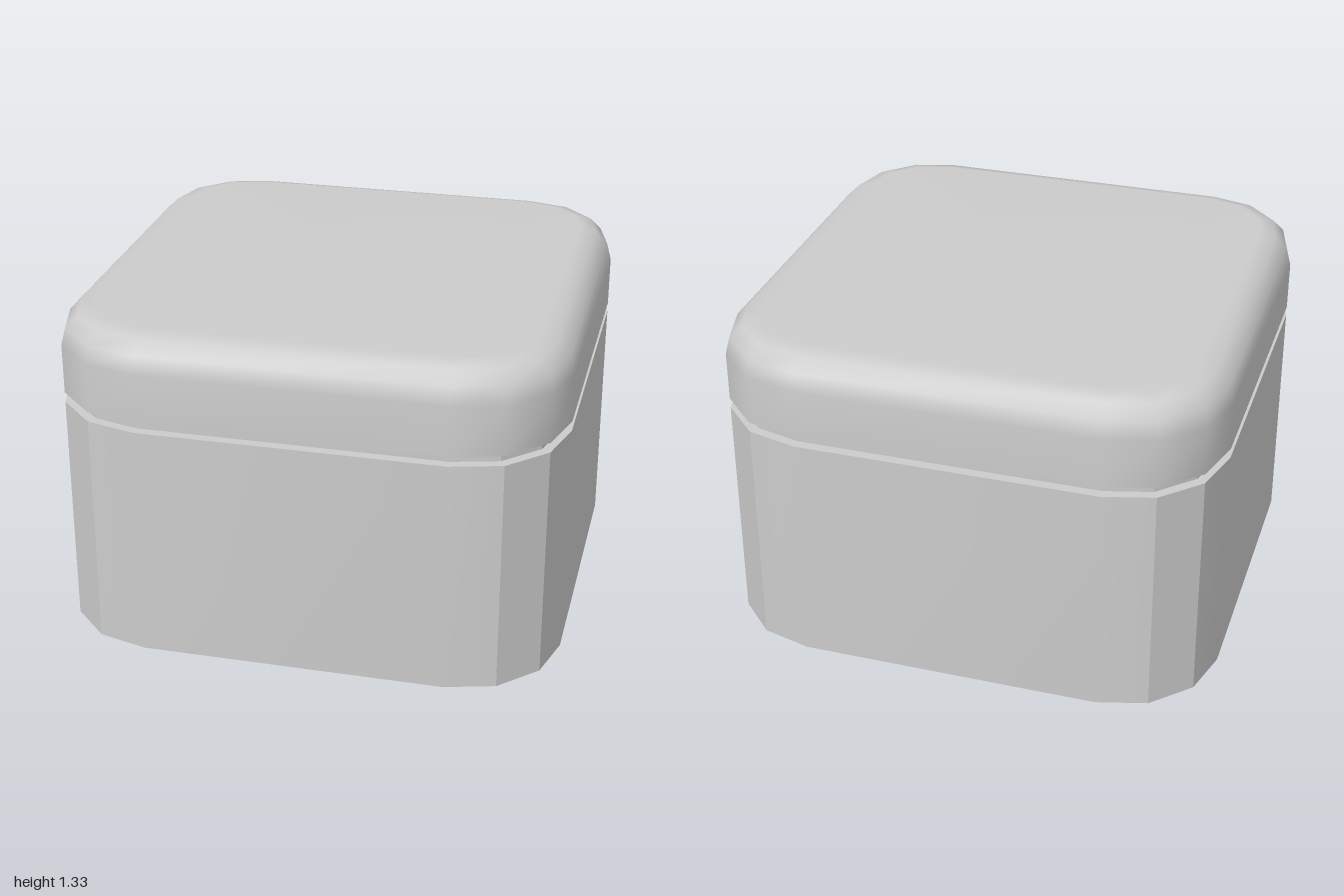
import * as THREE from 'three';
import { toCreasedNormals } from 'three/addons/utils/BufferGeometryUtils.js';

const CORNER = 0.4, SEGMENTS = 3;

// Rounded-square outline, pulled in by an inset, as [x, z] pairs
function outline(inset) {
  const points = [], c = 1 - CORNER, r = CORNER - inset;
  for (let q = 0; q < 4; q++) {
    const mid = (q + 0.5) * Math.PI / 2;
    for (let s = 0; s <= SEGMENTS; s++) {
      const a = (q + s / SEGMENTS) * Math.PI / 2;
      points.push([c * Math.sign(Math.cos(mid)) + r * Math.cos(a),
        c * Math.sign(Math.sin(mid)) + r * Math.sin(a)]);
    }
  }
  return points;
}

// Closed solid through [inset, y] levels, listed from bottom to top
function loft(levels, capBottom = true, capTop = true) {
  const positions = [], index = [], n = 4 * (SEGMENTS + 1);
  const addRing = ([inset, y]) => {
    const start = positions.length / 3;
    for (const [x, z] of outline(inset)) positions.push(x, y, z);
    return start;
  };
  const rings = levels.map(addRing);
  for (let k = 0; k < rings.length - 1; k++) {
    for (let i = 0; i < n; i++) {
      const j = (i + 1) % n, lo = rings[k], hi = rings[k + 1];
      index.push(lo + i, hi + i, lo + j, lo + j, hi + i, hi + j);
    }
  }
  const addCap = (ring, y, up) => {
    const centre = positions.length / 3;
    positions.push(0, y, 0);
    for (let i = 0; i < n; i++) {
      const a = ring + i, b = ring + (i + 1) % n;
      index.push(centre, up ? b : a, up ? a : b);
    }
  };
  // The bottom gets its own ring so its edge stays sharp
  if (capBottom) addCap(addRing(levels[0]), levels[0][1], false);
  if (capTop) addCap(rings[rings.length - 1], levels[levels.length - 1][1], true);
  const geometry = new THREE.BufferGeometry();
  geometry.setAttribute('position', new THREE.Float32BufferAttribute(positions, 3));
  geometry.setIndex(index);
  geometry.computeVertexNormals();
  return geometry;
}

export function createModel() {
  const group = new THREE.Group();
  const material = new THREE.MeshStandardMaterial({ color: 0xcccccc });
  const add = (name, geometry) => {
    const mesh = new THREE.Mesh(geometry, material);
    mesh.name = name;
    group.add(mesh);
  };

  // Box body with faceted corners
  add('body', toCreasedNormals(loft([[0, 0], [0, 0.95]]), 0.4));

  // Recessed band between body and lid
  add('neck', toCreasedNormals(loft([[0.04, 0.95], [0.04, 0.99]], false, false), 0.4));

  // Lid with a rounded, smooth-shaded top edge
  const bevel = 0.135, top = 1.325, levels = [[0, 0.99]];
  for (let s = 0; s <= 3; s++) {
    const a = s / 3 * Math.PI / 2;
    levels.push([bevel * (1 - Math.cos(a)), top - bevel * (1 - Math.sin(a))]);
  }
  add('lid', loft(levels));

  return group;
}
